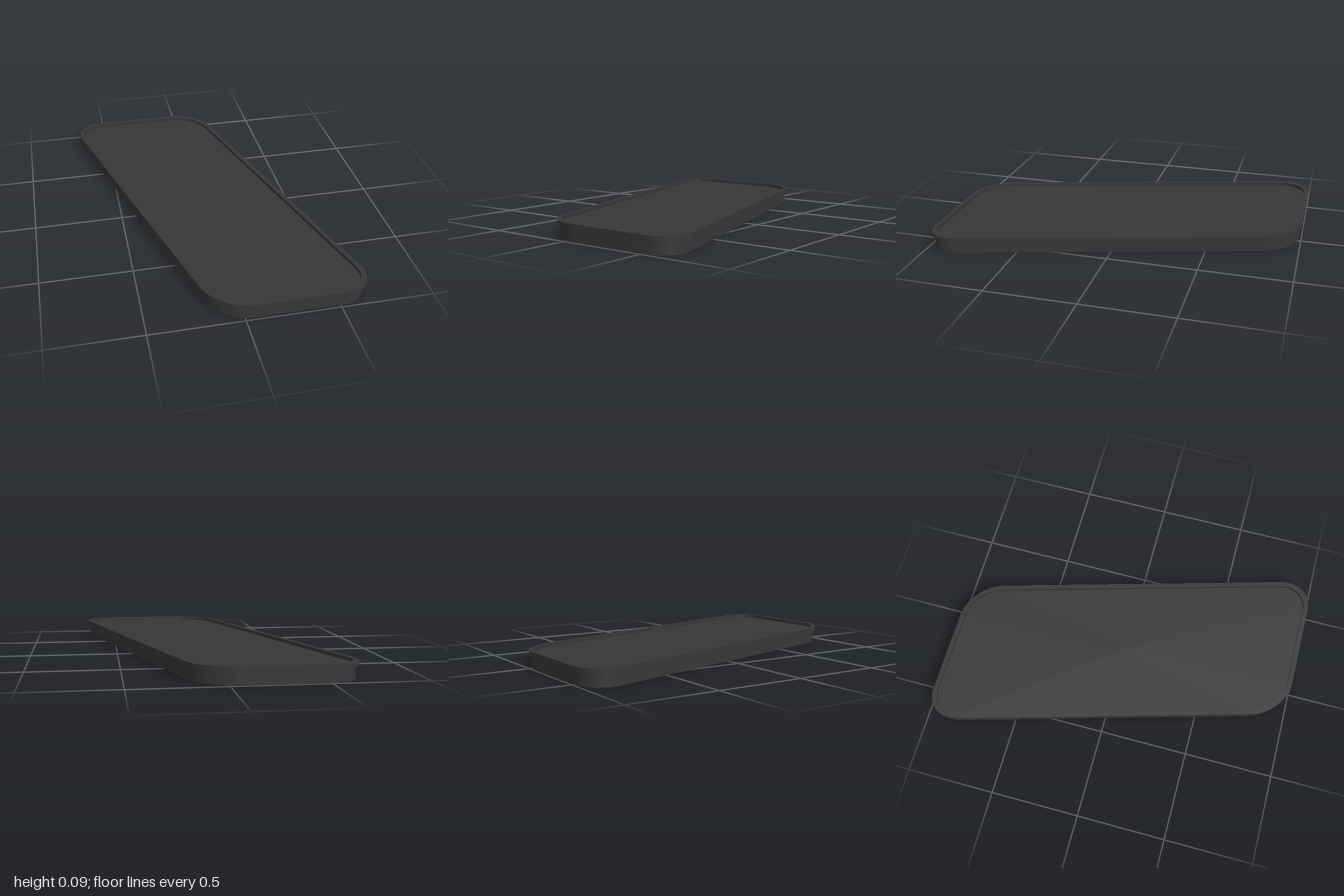
import * as THREE from 'three';
import { toCreasedNormals } from 'three/addons/utils/BufferGeometryUtils.js';

const HALF_W = 0.43, HALF_D = 1, RADIUS = 0.195, SHEAR = 0.286, SEG = 16;

// Outline: a rounded rectangle, inset evenly, then slanted sideways along z
function outline(inset) {
  const r = RADIUS - inset, cx = HALF_W - RADIUS, cz = HALF_D - RADIUS, pts = [];
  [[1, 1], [-1, 1], [-1, -1], [1, -1]].forEach(([sx, sz], corner) => {
    for (let i = 0; i <= SEG; i++) {
      const a = (corner + i / SEG) * Math.PI / 2;
      const z = sz * cz + r * Math.sin(a);
      pts.push([sx * cx + r * Math.cos(a) + SHEAR * z, z]);
    }
  });
  return pts;
}

// Sweeps an [inset, height] profile round the outline; a null inset is the centre point
function sweep(profile) {
  const rings = profile.map(([inset, y]) =>
    outline(inset ?? 0).map(([x, z]) => inset === null ? [0, y, 0] : [x, y, z]));
  const pos = [];
  for (let j = 0; j < rings.length - 1; j++) {
    const n = rings[j].length;
    for (let i = 0; i < n; i++) {
      const k = (i + 1) % n;
      const a = rings[j][i], b = rings[j + 1][i], c = rings[j][k], d = rings[j + 1][k];
      if (profile[j + 1][0] !== null) pos.push(...b, ...d, ...c);
      if (profile[j][0] !== null) pos.push(...a, ...b, ...c);
    }
  }
  const geo = new THREE.BufferGeometry();
  geo.setAttribute('position', new THREE.Float32BufferAttribute(pos, 3));
  return toCreasedNormals(geo, Math.PI / 5);
}

export function createModel() {
  const group = new THREE.Group();
  group.name = 'slantedTray';
  const material = new THREE.MeshStandardMaterial({ color: 0x383838 });
  const WALL = 0.015, INNER = 0.027, LIP = 0.073, TOP = 0.094, FLOOR = 0.075, UNDER = 0.066;

  const parts = {
    // underside of the panel, seen through the open base
    panelUnderside: [[null, UNDER], [INNER, UNDER]],
    // thin wall standing on the ground
    skirt: [[INNER, UNDER], [INNER, 0], [WALL, 0], [WALL, LIP]],
    // overhanging lip with a shallow inner step
    rim: [[WALL, LIP], [0, LIP], [0, TOP], [INNER, TOP], [INNER, FLOOR]],
    // recessed top panel
    topPanel: [[INNER, FLOOR], [null, FLOOR]],
  };
  for (const [name, profile] of Object.entries(parts)) {
    const mesh = new THREE.Mesh(sweep(profile), material);
    mesh.name = name;
    group.add(mesh);
  }
  return group;
}
